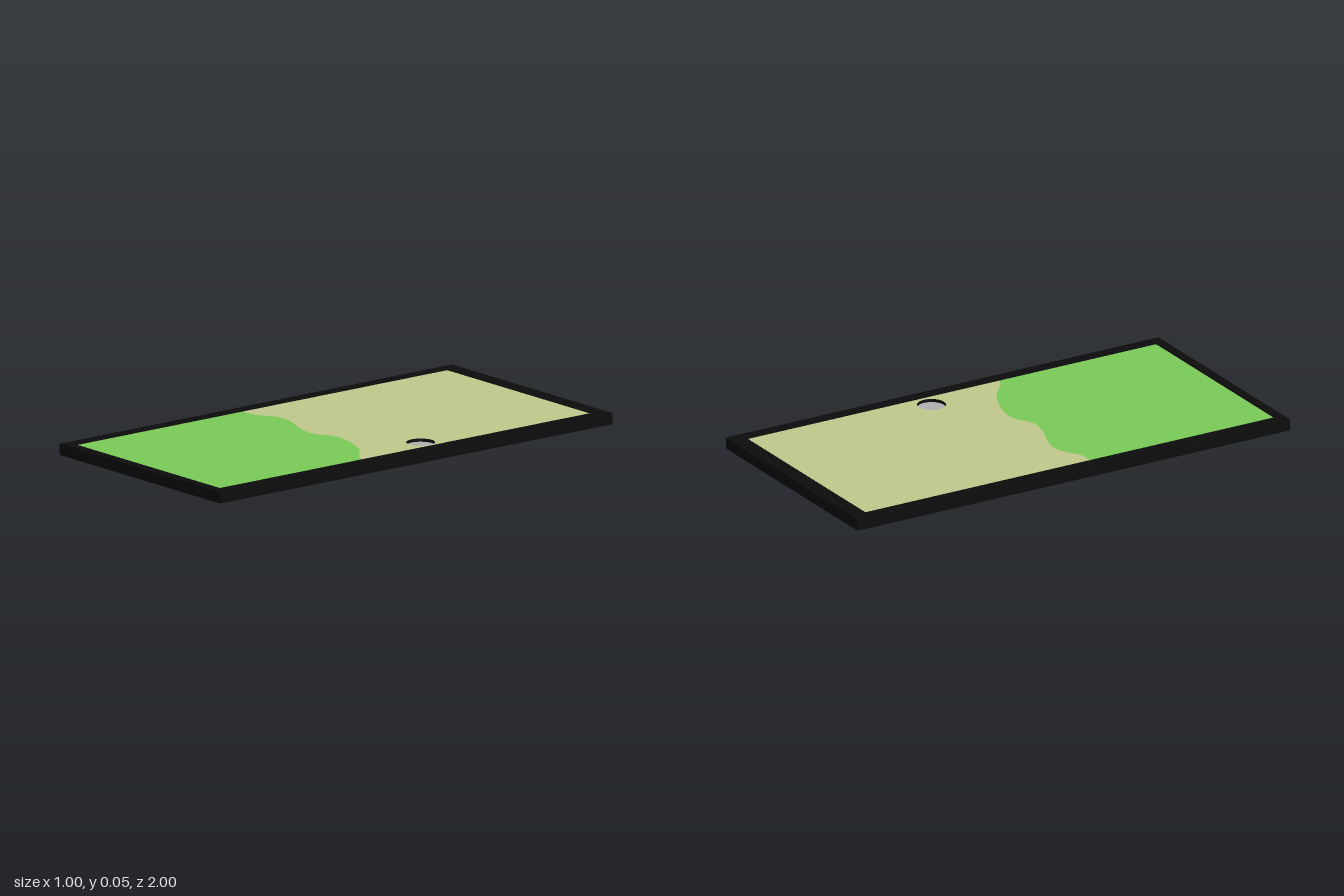
import * as THREE from 'three';

const HEIGHT = 0.046;
const INNER = { x: 0.447, back: -0.932, front: 0.957 };
const KNOB = { x: 0.375, z: -0.125, r: 0.057 };

const material = (name, color) => {
  const m = new THREE.MeshStandardMaterial({ color });
  m.name = name;
  return m;
};

// Shapes are drawn in (x, -z) and extruded upwards from y0 to y1
function slab(name, shape, y0, y1, mats) {
  const geo = new THREE.ExtrudeGeometry(shape, { depth: y1 - y0, bevelEnabled: false, curveSegments: 24 });
  geo.rotateX(-Math.PI / 2);
  const mesh = new THREE.Mesh(geo, mats);
  mesh.name = name;
  mesh.position.y = y0;
  return mesh;
}

const outline = (points) => new THREE.Shape(points.map(([x, z]) => new THREE.Vector2(x, -z)));
const rect = (x, back, front) => outline([[-x, front], [x, front], [x, back], [-x, back]]);

export function createModel() {
  const black = material('black frame', 0x0c0c0c);
  const khaki = material('khaki panel', 0xc0c98c);
  const green = material('green paint', 0x7acb58);
  const grey = material('grey knob', 0xb1b1b1);

  const door = new THREE.Group();
  door.name = 'door';

  // Border frame around the panel
  const frame = rect(0.5, -1, 1);
  frame.holes.push(rect(INNER.x, INNER.back, INNER.front));
  door.add(slab('frame', frame, 0, HEIGHT, black));

  // Wavy line where the two panel colours meet, left to right
  const wave = new THREE.SplineCurve([
    [-INNER.x, 0.108], [-0.38, 0.108], [-0.33, 0.076], [-0.27, 0.055], [-0.2, 0.065],
    [-0.1, 0.103], [-0.02, 0.12], [0.03, 0.107], [0.07, 0.083], [0.12, 0.075],
    [0.2, 0.09], [0.3, 0.13], [0.35, 0.165], [0.41, 0.215], [INNER.x, 0.23],
  ].map(([x, z]) => new THREE.Vector2(x, z))).getPoints(56).map((p) => [p.x, p.y]);

  // Upper panel with a dark-walled round opening for the knob
  const upper = outline([...wave, [INNER.x, INNER.back], [-INNER.x, INNER.back]]);
  const opening = new THREE.Path();
  opening.absarc(KNOB.x, -KNOB.z, KNOB.r, 0, Math.PI * 2, true);
  upper.holes.push(opening);
  door.add(slab('upperPanel', upper, 0.002, HEIGHT - 0.002, [khaki, black]));

  // Lower painted panel
  const lower = outline([[-INNER.x, INNER.front], [INNER.x, INNER.front], ...wave.slice().reverse()]);
  door.add(slab('lowerPanel', lower, 0.002, HEIGHT - 0.002, [green, black]));

  // Knob disc sunk inside the opening
  const knob = new THREE.Mesh(new THREE.CylinderGeometry(KNOB.r, KNOB.r, 0.016, 48), grey);
  knob.name = 'knob';
  knob.position.set(KNOB.x, HEIGHT / 2, KNOB.z);
  door.add(knob);

  return door;
}
